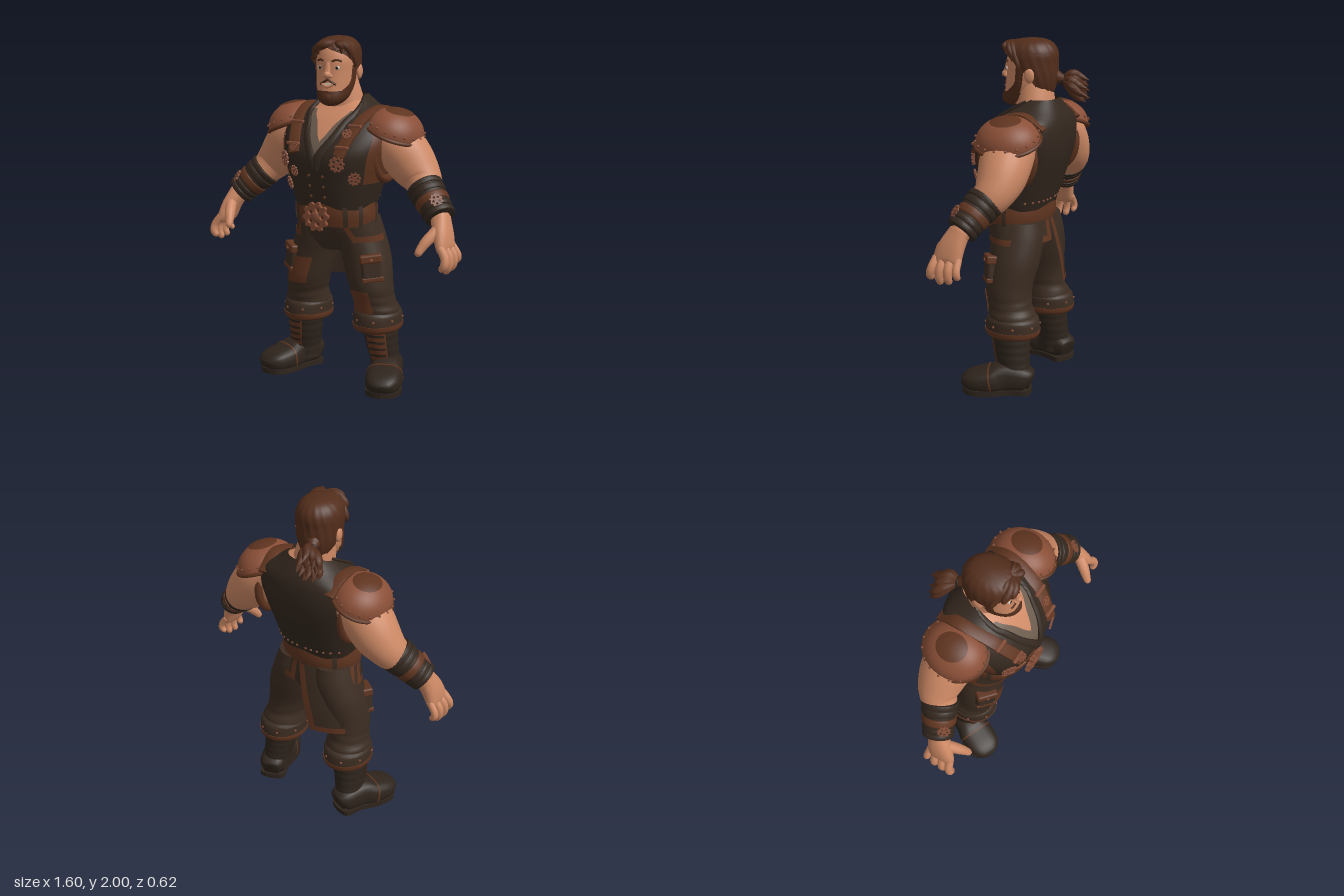
import * as THREE from 'three';
import { toCreasedNormals } from 'three/addons/utils/BufferGeometryUtils.js';
import { RoundedBoxGeometry } from 'three/addons/geometries/RoundedBoxGeometry.js';

const paint = (name, hex, open) => {
  const m = new THREE.MeshStandardMaterial({ color: hex });
  m.name = name;
  if (open) m.side = THREE.DoubleSide;
  return m;
};
const skin = paint('skin', 0xcc8864), vestDark = paint('vest dark', 0x33271e, true), pants = paint('trouser brown', 0x3b2c21, true),
  leather = paint('red leather', 0x5f341f, true), tan = paint('tan leather', 0x8a4f37, true), hairMat = paint('hair brown', 0x522d1b, true),
  metal = paint('copper', 0x824b35), shirtMat = paint('shirt grey', 0x6a5a4c, true), bootMat = paint('boot dark', 0x2e241c),
  white = paint('eye white', 0xd6cbbd);
const V = (x, y, z) => new THREE.Vector3(x, y, z), PI = Math.PI, UP = V(0, 1, 0);

// Smooth interpolation through cross-sections S placed at keys K
function sample(S, K, t) {
  let i = 0;
  while (i < S.length - 2 && t > K[i + 1]) i++;
  const h = K[i + 1] - K[i], u = (t - K[i]) / h;
  return S[i].map((p, c) => {
    const slope = (k) => {
      const a = Math.max(k - 1, 0), b = Math.min(k + 1, S.length - 1);
      return (S[b][c] - S[a][c]) / (K[b] - K[a]) * h;
    };
    return p + u * u * (3 - 2 * u) * (S[i + 1][c] - p) + u * (1 - u) * ((1 - u) * slope(i) - u * slope(i + 1));
  });
}
const power = (c, p) => Math.sign(c) * Math.pow(Math.abs(c), 2 / p);

// Loft through sections [x, y, z, radiusA, radiusB]; flat keeps rings level and keys them by y
function loft(name, mat, S, { n = 24, rows = (S.length - 1) * 4, p = 2, off = 0, flat = false, ref = V(0, 0, 1), range, open, mod } = {}) {
  const K = S.map((s, i) => (flat ? s[1] : i)), [t0, t1] = range || [K[0], K[K.length - 1]];
  const pos = [], idx = [], cols = open ? n + 1 : n, ends = [];
  const at = (t) => sample(S, K, THREE.MathUtils.clamp(t, K[0], K[K.length - 1]));
  for (let i = 0; i <= rows; i++) {
    const t = t0 + (t1 - t0) * i / rows, s = at(t), c = V(s[0], s[1], s[2]);
    let e1 = V(1, 0, 0), e2 = V(0, 0, 1);
    if (!flat) {
      const f = at(t + 0.02), b = at(t - 0.02), T = V(f[0] - b[0], f[1] - b[1], f[2] - b[2]).normalize();
      e2 = ref.clone().addScaledVector(T, -ref.dot(T)).normalize();
      e1 = T.clone().cross(e2);
    }
    const [A, B] = open ? open(t) : [0, 2 * PI];
    for (let j = 0; j < cols; j++) {
      const th = A + (B - A) * j / n, k = mod ? mod(th, t) : 1;
      const q = c.clone().addScaledVector(e1, (s[3] + off) * power(Math.sin(th), p) * k).addScaledVector(e2, (s[4] + off) * power(Math.cos(th), p) * k);
      pos.push(q.x, q.y, q.z);
    }
    if (i === 0 || i === rows) ends.push(c);
  }
  for (let i = 0; i < rows; i++) for (let j = 0; j < n; j++) {
    const a = i * cols + j, b = i * cols + (j + 1) % cols;
    idx.push(a, b, a + cols, b, b + cols, a + cols);
  }
  if (!open) ends.forEach((c, e) => {
    const m = pos.length / 3, base = e * rows * cols;
    pos.push(c.x, c.y, c.z);
    for (let j = 0; j < n; j++) {
      const a = base + j, b = base + (j + 1) % n;
      idx.push(m, ...(e ? [a, b] : [b, a]));
    }
  });
  const g = new THREE.BufferGeometry();
  g.setAttribute('position', new THREE.Float32BufferAttribute(pos, 3));
  g.setIndex(idx);
  return part(name, mat, toCreasedNormals(g, 0.9));
}
function part(name, mat, geo, x = 0, y = 0, z = 0) {
  const m = new THREE.Mesh(geo, mat);
  m.name = name;
  m.position.set(x, y, z);
  return m;
}
const ball = (name, mat, x, y, z, a, b, c, n = 16) => part(name, mat, new THREE.SphereGeometry(1, n, n * 0.7 | 0).scale(a, b, c), x, y, z);
const tube = (name, mat, pts, r, n = 24) => part(name, mat, new THREE.TubeGeometry(new THREE.CatmullRomCurve3(pts), n, r, 8));
const face = (m, normal) => (m.quaternion.setFromUnitVectors(V(0, 0, 1), normal.normalize()), m);

// Copy of a group reflected across x = 0
function mirrored(src) {
  const g = new THREE.Group();
  g.name = src.name.replace('left', 'right');
  src.updateMatrixWorld(true);
  src.traverse((o) => {
    if (!o.isMesh) return;
    const geo = (o.geometry.index ? o.geometry.toNonIndexed() : o.geometry.clone()).applyMatrix4(o.matrixWorld).scale(-1, 1, 1);
    geo.deleteAttribute('uv');
    for (const a of Object.values(geo.attributes)) for (let i = 0; i < a.count; i += 3) for (let k = 0; k < 3; k++) {
      const t = a.getComponent(i + 1, k);
      a.setComponent(i + 1, k, a.getComponent(i + 2, k));
      a.setComponent(i + 2, k, t);
    }
    g.add(part(o.name, o.material, geo));
  });
  return g;
}
// Toothed wheel with round cut-outs, facing +z
function gear(name, r) {
  const s = new THREE.Shape(), N = 10;
  for (let i = 0; i < N * 4; i++) {
    const a = i / (N * 4) * 2 * PI, q = r * (i % 4 < 2 ? 1 : 0.82);
    s[i ? 'lineTo' : 'moveTo'](q * Math.cos(a), q * Math.sin(a));
  }
  for (let i = 0; i < 5; i++) s.holes.push(new THREE.Path().absarc(r * 0.5 * Math.cos(i * PI * 0.4), r * 0.5 * Math.sin(i * PI * 0.4), r * 0.19, 0, 2 * PI, true));
  return part(name, metal, new THREE.ExtrudeGeometry(s, { depth: r * 0.25, bevelEnabled: false, curveSegments: 5 }));
}

const TORSO = [[0, 1.05, 0.065, 0.235, 0.185], [0, 1.2, 0.055, 0.275, 0.225], [0, 1.35, 0.04, 0.315, 0.255], [0, 1.45, 0.008, 0.335, 0.235],
  [0, 1.55, -0.03, 0.3, 0.19], [0, 1.61, -0.05, 0.19, 0.145], [0, 1.67, -0.06, 0.112, 0.1]];
const TK = TORSO.map((s) => s[1]);
function torsoZ(x, y, side = 1) {
  const s = sample(TORSO, TK, y);
  return s[2] + side * s[4] * Math.pow(Math.max(0, 1 - Math.pow(Math.abs(x) / s[3], 2.4)), 1 / 2.4);
}
const gap = (y) => Math.max(0, sample([[0], [0], [0.19], [0.38], [0.8], [1.5]], [1.05, 1.3, 1.45, 1.55, 1.61, 1.67], y)[0]);
const between = (a, b) => () => [a, b];

function buildTorso(root) {
  const o = { flat: true, p: 2.4, n: 48, rows: 28 };
  root.add(loft('chest', skin, TORSO, { ...o, off: -0.022, range: [1.06, 1.64] }),
    loft('shirt', shirtMat, TORSO, { ...o, off: -0.011, range: [1.25, 1.59], open: (y) => { const a = Math.max(0, gap(y) - 0.16); return [a, 2 * PI - a]; } }),
    loft('vest', vestDark, TORSO, { ...o, open: (y) => [gap(y), 2 * PI - gap(y)] }),
    loft('neck', skin, [[0, 1.48, -0.03, 0.14, 0.12], [-0.01, 1.6, -0.03, 0.125, 0.108], [-0.03, 1.76, -0.01, 0.1, 0.1]]),
    loft('hips', pants, [[0, 0.79, 0.02, 0.13, 0.12], [0, 0.86, 0.03, 0.23, 0.155], [0, 1.0, 0.05, 0.235, 0.175]], { flat: true }));
  const BELT = [[0, 0.95, 0.065, 0.243, 0.185], [0, 1.015, 0.065, 0.25, 0.195], [0, 1.08, 0.065, 0.243, 0.192]];
  root.add(loft('belt', leather, BELT, { flat: true, n: 40 }));
  for (const t of [-1.3, -0.75, 0.6, 1.0, 1.6, 3.9]) root.add(loft('beltLoop', pants, BELT, { flat: true, n: 4, off: 0.006, open: between(t, t + 0.12) }));
  root.add(gear('buckleGear', 0.085).translateZ(0.272).translateY(1.01), ball('buckleBoss', metal, 0, 1.01, 0.29, 0.03, 0.03, 0.012));
  for (const [x, y, r] of [[-0.215, 1.32, 0.045], [-0.14, 1.39, 0.028], [-0.14, 1.26, 0.032], [-0.195, 1.18, 0.038], [0.14, 1.32, 0.045], [0.165, 1.47, 0.03], [0.215, 1.24, 0.038]]) {
    const e = 0.01, n = V(torsoZ(x - e, y) - torsoZ(x + e, y), torsoZ(x, y - e) - torsoZ(x, y + e), 2 * e);
    const g = face(gear('chestGear', r), n);
    g.position.set(x, y, torsoZ(x, y)).addScaledVector(n, y > 1.35 ? 0.019 : 0.008);
    root.add(g);
  }
  const side = new THREE.Group();
  side.name = 'left vest trim';
  const edge = [1.28, 1.36, 1.45, 1.53, 1.58, 1.63, 1.66].map((y, i) => {
    const s = sample(TORSO, TK, y), a = gap(y);
    return [s[0] + s[3] * power(Math.sin(a), 2.4), y, s[2] + s[4] * power(Math.cos(a), 2.4) + 0.003, 0.027 - 0.0025 * i, 0.014 - 0.001 * i];
  });
  side.add(loft('lapel', vestDark, edge, { n: 10 }));
  side.add(loft('vestSidePanel', leather, TORSO, { flat: true, p: 2.4, off: 0.005, range: [1.2, 1.5], rows: 10, open: (y) => [0.95 + (1.5 - y) * 0.3, 1.75] }));
  const strap = [...[[0.145, 1.36], [0.165, 1.43], [0.19, 1.5], [0.205, 1.55]].map(([x, y]) => [x, y, torsoZ(x, y) + 0.005]), [0.225, 1.595, 0.02], [0.23, 1.6, -0.08], [0.22, 1.53, torsoZ(0.22, 1.53, -1) - 0.004]];
  side.add(loft('shoulderStrap', leather, strap.map((q) => [...q, 0.012, 0.036]), { ref: V(1, 0, 0), n: 12, p: 4 }));
  for (const [x, y] of [[0.16, 1.41], [0.19, 1.52]]) side.add(part('strapClasp', metal, new RoundedBoxGeometry(0.085, 0.018, 0.02, 1, 0.006), x, y, torsoZ(x, y) + 0.018));
  for (const y of [1.12, 1.18, 1.24]) side.add(ball('vestButton', leather, 0.045, y, torsoZ(0.045, y), 0.01, 0.01, 0.007, 8));
  for (let i = 0; i < 6; i++) side.add(ball('hemRivet', metal, 0.03 + i * 0.036, 1.1, torsoZ(0.03 + i * 0.036, 1.1, -1), 0.008, 0.008, 0.008, 8));
  const hole = part('armholeTrim', leather, new THREE.TorusGeometry(0.15, 0.024, 8, 32).scale(0.97, 1.07, 1), 0.285, 1.37, -0.01);
  hole.rotation.y = PI / 2;
  side.add(hole);
  root.add(side, mirrored(side));
  // Short hip flaps and the long tail at the right rear
  const SKIRT = [[0, 0.56, 0.005, 0.31, 0.175], [0, 0.7, 0.01, 0.3, 0.178], [0, 0.85, 0.03, 0.277, 0.18], [0, 0.98, 0.06, 0.246, 0.187]];
  const panel = (name, mat, a, b, y0, y1, off, open) => root.add(loft(name, mat, SKIRT, { flat: true, range: [y0, y1], rows: 8, off, open: open || between(a, b) }));
  for (const [n, lo, hi, y, lean] of [['leftFlap', 0.5, PI - 0.15, 0.86, 1.5], ['rightFlap', 2 * PI - 1.6, 2 * PI - 0.65, 0.86, 0], ['coatTail', PI - 0.08, PI * 1.45, 0.57, 0.85]]) {
    const a = (t) => lo + lean * (0.98 - t), low = lo + lean * (0.98 - y);
    panel(n, pants, lo, hi, y, 0.98, 0, (t) => [a(t), hi]);
    panel(n + 'Hem', leather, low, hi, y, y + 0.035, 0.007);
    panel(n + 'Edge', leather, 0, 0, y, 0.98, 0.006, (t) => [a(t), a(t) + 0.14]);
    panel(n + 'Edge', leather, hi - 0.13, hi, y, 0.98, 0.006);
  }
}

function buildArm() {
  const g = new THREE.Group();
  g.name = 'left arm';
  g.add(loft('arm', skin, [[0.25, 1.47, -0.03, 0.11, 0.13], [0.35, 1.4, -0.03, 0.138, 0.147], [0.437, 1.3, -0.035, 0.135, 0.135], [0.51, 1.222, -0.02, 0.107, 0.112], [0.56, 1.16, 0.025, 0.085, 0.09], [0.69, 1.03, 0.09, 0.05, 0.055]]));
  const axis = (t) => [0.535 + 0.145 * t, 1.19 - 0.14 * t, 0.008 + 0.077 * t];
  g.add(loft('bracer', vestDark, [0, 0.5, 1].map((t) => [...axis(t), 0.098 - 0.02 * t, 0.102 - 0.02 * t])));
  [[0.02, 0.14], [0.2, 0.34], [0.45, 0.62], [0.72, 0.82], [0.88, 0.99]].forEach(([a, b], i) => g.add(loft('bracerBand', i === 2 ? leather : vestDark,
    [a - 0.02, a, b, b + 0.02].map((t, k) => [...axis(t), 0.1 - 0.02 * t + (k % 3 ? 0.004 : -0.004), 0.104 - 0.02 * t + (k % 3 ? 0.004 : -0.004)]))));
  const m = face(gear('bracerGear', 0.038), V(0.6, 0.5, 0.6));
  m.position.set(0.667, 1.148, 0.12);
  g.add(m);
  // Hand with four curled fingers and a thumb
  g.add(loft('palm', skin, [[0.68, 1.05, 0.088, 0.052, 0.055], [0.715, 0.97, 0.12, 0.045, 0.074], [0.738, 0.9, 0.138, 0.034, 0.082], [0.75, 0.875, 0.14, 0.02, 0.072]], { p: 2.4 }));
  [0.785, 0.764, 0.77, 0.8].forEach((tip, i) => {
    const z = 0.2 - 0.044 * i, zt = 0.222 - 0.053 * i, r = i === 3 ? 0.02 : 0.023;
    g.add(loft('finger', skin, [[0.738, 0.91, z, r, r], [0.772, 0.86, (z + zt) / 2, r * 1.05, r * 1.05], [0.776, (tip + 0.86) / 2, zt, r, r], [0.76, tip + 0.012, zt, r * 0.8, r * 0.8], [0.755, tip, zt, r * 0.3, r * 0.3]], { n: 10 }));
  });
  g.add(loft('thumb', skin, [[0.7, 1.0, 0.14, 0.034, 0.034], [0.665, 0.945, 0.205, 0.031, 0.032], [0.645, 0.905, 0.238, 0.025, 0.026], [0.635, 0.875, 0.258, 0.019, 0.02], [0.633, 0.864, 0.265, 0.007, 0.007]], { n: 12 }));
  // Shoulder plate with riveted rim
  const pad = new THREE.Group();
  pad.position.set(0.33, 1.475, -0.02);
  pad.rotation.z = -0.37;
  const dome = (to, k) => new THREE.SphereGeometry(1, 32, 12, 0, 2 * PI, 0, to).scale(0.162 * k, 0.134 * k, 0.182 * k);
  const patch = part('shoulderPatch', leather, dome(0.5, 1.02));
  patch.rotation.z = 0.12;
  pad.add(part('shoulderPlate', tan, dome(PI / 2, 1)), patch, part('plateRim', leather, new THREE.TorusGeometry(1, 0.07, 8, 36).rotateX(PI / 2).scale(0.162, 0.16, 0.182)));
  for (let i = 0; i < 18; i++) {
    const a = i / 18 * 2 * PI;
    pad.add(ball('plateRivet', metal, 0.16 * Math.cos(a), 0.035, 0.18 * Math.sin(a), 0.008, 0.008, 0.008, 6));
  }
  g.add(pad);
  return g;
}

const LEG = [[0.238, 0.38, 0, 0.12, 0.135], [0.235, 0.45, 0.005, 0.13, 0.137], [0.23, 0.5, 0.02, 0.118, 0.128], [0.212, 0.6, 0.035, 0.128, 0.136], [0.175, 0.75, 0.02, 0.14, 0.148], [0.135, 0.88, 0.02, 0.138, 0.155], [0.12, 0.98, 0.03, 0.12, 0.15]];
function buildLeg() {
  const g = new THREE.Group();
  g.name = 'left leg';
  g.add(loft('trouserLeg', pants, LEG, { flat: true, n: 32, rows: 40, mod: (a, y) => 1 + (y < 0.56 ? 0.018 * Math.sin(y * 110 + 2 * Math.sin(a)) : 0) }));
  const CUFF = [[0.24, 0.325, 0, 0.115, 0.135], [0.24, 0.34, 0, 0.134, 0.155], [0.24, 0.39, 0, 0.137, 0.16], [0.238, 0.435, 0, 0.134, 0.15], [0.236, 0.45, 0.003, 0.115, 0.13]];
  g.add(loft('cuff', pants, CUFF, { flat: true, rows: 20 }), loft('cuffTrim', leather, CUFF, { flat: true, off: 0.004, range: [0.335, 0.37], rows: 4 }));
  for (let i = 0; i < 8; i++) g.add(ball('cuffRivet', metal, 0.24 + 0.139 * Math.sin(i * PI / 4 + 0.4), 0.4, 0.158 * Math.cos(i * PI / 4 + 0.4), 0.008, 0.008, 0.008, 6));
  const SHAFT = [[0.28, 0.06, -0.03, 0.085, 0.095], [0.275, 0.14, -0.025, 0.082, 0.095], [0.266, 0.22, -0.012, 0.09, 0.103], [0.255, 0.34, 0, 0.1, 0.112]];
  g.add(loft('bootShaft', bootMat, SHAFT, { flat: true, rows: 30, mod: (a, y) => 1 + 0.012 * Math.sin(y * 130) }));
  g.add(loft('bootTongue', leather, SHAFT, { flat: true, off: 0.006, range: [0.12, 0.34], open: between(-0.35, 0.85) }));
  for (let i = 0; i < 5; i++) g.add(loft('bootLace', bootMat, SHAFT, { flat: true, off: 0.01, range: [0.14 + i * 0.04, 0.155 + i * 0.04], rows: 1, open: between(-0.25, 0.75) }));
  // Foot turned outwards
  const foot = new THREE.Group();
  foot.position.set(0.302, 0, -0.01);
  foot.rotation.y = 0.37;
  const outline = [[0, -0.128], [0.075, -0.105], [0.076, 0], [0.103, 0.12], [0.088, 0.23], [0, 0.275], [-0.088, 0.23], [-0.102, 0.12], [-0.076, 0], [-0.075, -0.105], [0, -0.128]];
  const sole = new THREE.ExtrudeGeometry(new THREE.Shape(new THREE.SplineCurve(outline.map((q) => new THREE.Vector2(...q))).getPoints(40)), { depth: 0.03, bevelEnabled: false });
  const FOOT = [[0, 0.07, -0.126, 0.05, 0.05], [0, 0.085, -0.085, 0.08, 0.07], [0, 0.092, 0.03, 0.085, 0.085], [0, 0.078, 0.1, 0.104, 0.075], [0, 0.066, 0.2, 0.1, 0.06], [0, 0.055, 0.25, 0.074, 0.045], [0, 0.045, 0.272, 0.04, 0.025]];
  foot.add(part('sole', bootMat, sole.rotateX(PI / 2).translate(0, 0.03, 0)), loft('bootFoot', bootMat, FOOT, { ref: UP, p: 2.8 }), loft('toeSeam', leather, FOOT, { ref: UP, p: 2.8, off: 0.003, range: [3.05, 3.15], rows: 1 }));
  g.add(foot);
  const pouch = new THREE.Group();
  pouch.position.set(0.268, 0.715, 0.125);
  pouch.rotation.set(-0.08, 0.65, 0.15);
  pouch.add(part('thighPocket', pants, new RoundedBoxGeometry(0.12, 0.15, 0.06, 2, 0.02)), part('pocketFlap', leather, new RoundedBoxGeometry(0.126, 0.05, 0.068, 2, 0.012), 0, 0.055, 0.002),
    part('pocketHem', leather, new RoundedBoxGeometry(0.123, 0.03, 0.064, 2, 0.008), 0, -0.064, 0), ball('pocketStud', metal, 0, 0.05, 0.037, 0.01, 0.01, 0.006, 8));
  g.add(pouch);
  return g;
}

function buildHead() {
  const g = new THREE.Group();
  g.name = 'head';
  g.position.set(-0.028, 0, 0);
  g.rotation.y = 0.15;
  const HEAD = [[0, 1.625, 0.1, 0.045, 0.05], [0, 1.66, 0.07, 0.082, 0.095], [0, 1.72, 0.035, 0.105, 0.122], [0, 1.8, 0.02, 0.113, 0.13], [0, 1.88, 0.012, 0.114, 0.137], [0, 1.95, 0, 0.09, 0.118], [0, 1.985, 0, 0.04, 0.06]];
  const on = (a, y, off) => { const s = sample(HEAD, HEAD.map((q) => q[1]), y); return V((s[3] + off) * Math.sin(a), y, s[2] + (s[4] + off) * Math.cos(a)); };
  g.add(loft('face', skin, HEAD, { flat: true, n: 32 }));
  // Beard, moustache and mouth
  g.add(loft('beard', hairMat, [[0, 1.615, 0.1, 0.03, 0.04], [0, 1.63, 0.095, 0.06, 0.073], [0, 1.66, 0.072, 0.088, 0.105], [0, 1.7, 0.045, 0.103, 0.123]], { flat: true, open: between(-1.7, 1.7), rows: 10 }));
  g.add(ball('beardChin', hairMat, 0, 1.66, 0.145, 0.045, 0.04, 0.035));
  g.add(tube('moustache', hairMat, [-0.45, -0.22, 0, 0.22, 0.45].map((a) => on(a, 1.762 - Math.abs(a) * 0.06, 0)), 0.007));
  g.add(loft('smile', white, HEAD, { flat: true, off: 0.003, range: [1.732, 1.744], rows: 2, n: 8, open: between(-0.28, 0.28) }));
  g.add(tube('lowerLip', skin, [-0.32, 0, 0.32].map((a) => on(a, 1.723 + a * a * 0.15, 0.003)), 0.008, 12));
  g.add(ball('nose', skin, 0, 1.79, 0.158, 0.021, 0.022, 0.026), loft('noseBridge', skin, [[0, 1.79, 0.155, 0.018, 0.022], [0, 1.86, 0.143, 0.014, 0.014]], { n: 12 }));
  for (const s of [-1, 1]) {
    const q = on(s * 0.44, 1.828, -0.004), b = on(s * 0.44, 1.828, 0.004);
    g.add(loft('sideburn', hairMat, HEAD, { flat: true, off: 0.006, range: [1.685, 1.84], rows: 6, n: 8, open: (y) => { const lo = Math.min(1.2, 0.65 + (y - 1.685) * 9); return s > 0 ? [lo, 1.55] : [-1.55, -lo]; } }));
    g.add(ball('eye', white, q.x, q.y, q.z, 0.019, 0.012, 0.008), ball('iris', bootMat, b.x, b.y, b.z, 0.008, 0.009, 0.004, 10));
    g.add(tube('eyebrow', hairMat, [0.2, 0.44, 0.66].map((t, i) => on(s * t, 1.864 + (i === 1 ? 0.008 : 0), 0.001)), 0.006, 10));
    g.add(ball('nostril', skin, s * 0.018, 1.782, 0.152, 0.012, 0.011, 0.014, 10), ball('ear', skin, s * 0.122, 1.8, -0.014, 0.016, 0.042, 0.03));
  }
  // Combed-back hair, forelocks and ponytail
  const HAIR = [[0, 1.68, -0.04, 0.075, 0.075], [0, 1.73, -0.02, 0.106, 0.112], [0, 1.79, -0.01, 0.122, 0.133], [0, 1.86, 0.003, 0.129, 0.147], [0, 1.92, 0.008, 0.126, 0.152], [0, 1.965, 0.008, 0.102, 0.127], [0, 1.99, 0, 0.06, 0.075], [0, 2.0, 0, 0.0004, 0.0004]];
  const line = (y) => Math.max(0, sample([[2.1], [1.8], [1.5], [1.1], [0.75], [0], [0]], [1.68, 1.74, 1.8, 1.86, 1.9, 1.94, 2.0], y)[0]);
  g.add(loft('hair', hairMat, HAIR, { flat: true, n: 64, rows: 36, open: (y) => [line(y), 2 * PI - line(y)], mod: (a, y) => 1 + 0.014 * Math.sin(a * 18 + y * 30) }));
  for (const [x, y, z, w] of [[-0.055, 1.925, 0.15, 0.022], [-0.09, 1.905, 0.118, 0.024], [-0.12, 1.865, 0.066, 0.022], [0.075, 1.93, 0.135, 0.02], [0.108, 1.9, 0.09, 0.02], [0.12, 1.85, 0.05, 0.018]])
    g.add(loft('forelock', hairMat, [[0.03, 1.965, 0.1, 0.012, 0.014], [0.02 + x * 0.55, 1.957, z * 0.55 + 0.065, w, w], [x, y + 0.015, z + 0.004, w * 0.8, w * 0.8], [x * 1.01, y - 0.025, z, 0.003, 0.003]], { n: 10 }));
  g.add(loft('ponytailRoot', hairMat, [[-0.02, 1.79, -0.1, 0.05, 0.05], [-0.038, 1.765, -0.163, 0.026, 0.026]], { ref: UP }), ball('ponytailTie', bootMat, -0.04, 1.762, -0.163, 0.03, 0.034, 0.02));
  for (let i = 0; i < 14; i++) {
    const a = i * 2.4, r = 0.018 + 0.048 * Math.sqrt(i / 14), x = -0.075 + r * Math.cos(a), y = 1.71 + r * 1.1 * Math.sin(a);
    g.add(loft('ponytailTuft', hairMat, [[-0.04, 1.762, -0.163, 0.014, 0.014], [-0.053 + (x + 0.075) * 0.7, 1.75 + (y - 1.71) * 0.7, -0.213, 0.027, 0.027], [x, y + 0.012, -0.252, 0.022, 0.022], [x * 1.1, y - 0.012, -0.28 - 0.015 * (i % 3), 0.002, 0.002]], { n: 8, ref: UP }));
  }
  return g;
}

export function createModel() {
  const root = new THREE.Group();
  root.name = 'adventurer';
  buildTorso(root);
  for (const limb of [buildArm(), buildLeg()]) root.add(limb, mirrored(limb));
  // Sewn patches on the trousers
  const other = LEG.map((s) => [-s[0], ...s.slice(1)]);
  root.add(loft('thighPatch', leather, other, { flat: true, off: 0.007, range: [0.57, 0.73], rows: 8, open: between(-0.5, 0.5) }),
    loft('kneePatch', leather, LEG, { flat: true, off: 0.007, range: [0.45, 0.58], rows: 8, open: between(-0.65, 0.4) }), buildHead());
  return root;
}
